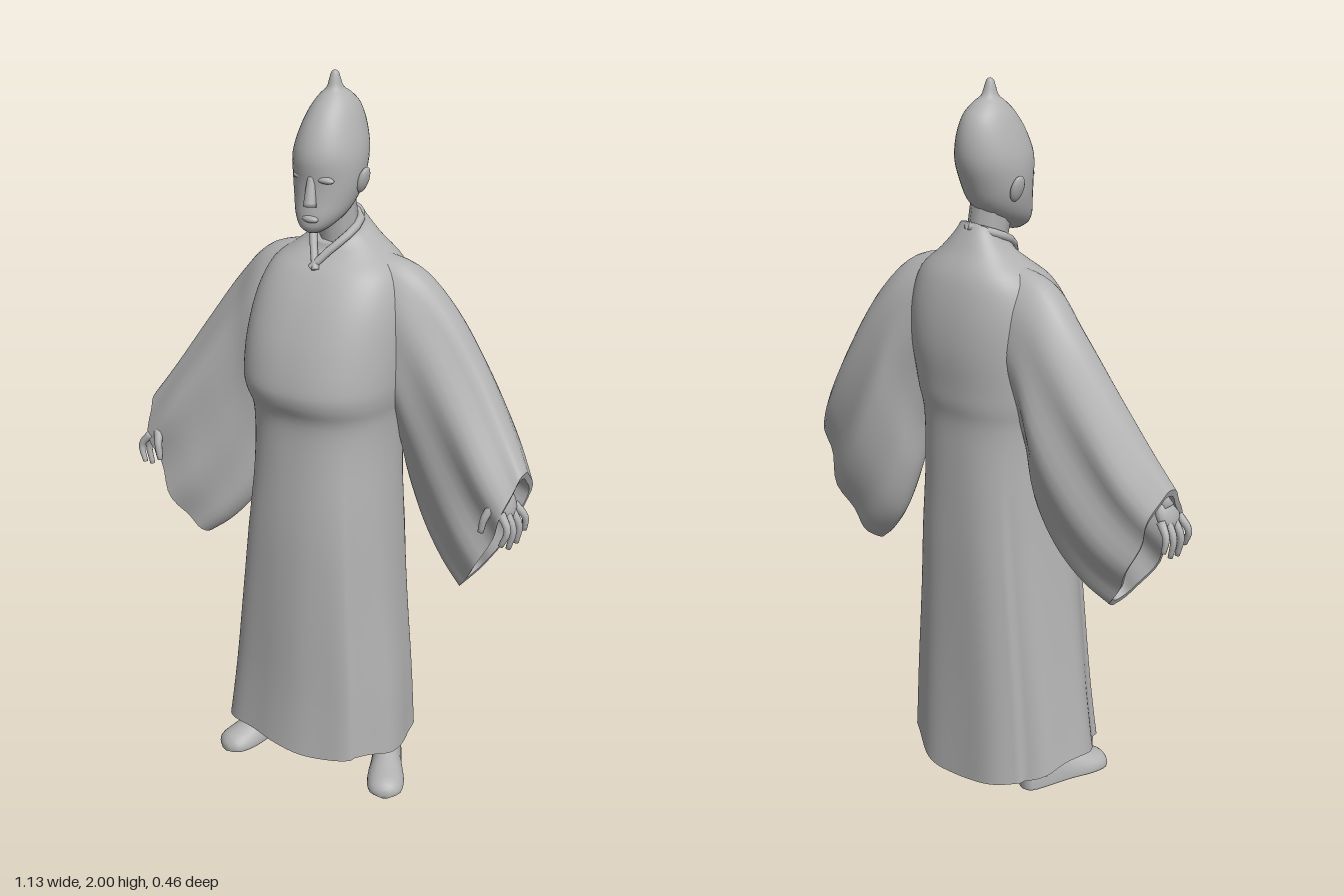
import * as THREE from 'three';

const V = (x, y, z) => new THREE.Vector3(x, y, z);
const cloth = new THREE.MeshStandardMaterial({ color: 0xb2b2b2 });
cloth.name = 'plain grey';

// Smoothly resample rows of numbers (Catmull-Rom), n steps per gap.
function resample(rows, n) {
  const out = [];
  const at = (i) => rows[Math.min(Math.max(i, 0), rows.length - 1)];
  for (let i = 0; i < rows.length - 1; i++) {
    for (let k = 0; k < n; k++) {
      const t = k / n;
      out.push(rows[i].map((b, c) => {
        const a = at(i - 1)[c], d = at(i + 1)[c], e = at(i + 2)[c];
        return b + 0.5 * t * (d - a + t * (2 * a - 5 * b + 4 * d - e + t * (3 * (b - d) + e - a)));
      }));
    }
  }
  out.push(rows[rows.length - 1]);
  return out;
}

// Closed skin over rings of points, capped at both ends, facing outward.
function loft(name, rings) {
  const m = rings[0].length, pts = rings.flat(), idx = [];
  for (let i = 0; i < rings.length - 1; i++) {
    for (let j = 0; j < m; j++) {
      const a = i * m + j, b = i * m + (j + 1) % m;
      idx.push(a, b, b + m, a, b + m, a + m);
    }
  }
  for (const i of [0, rings.length - 1]) {
    const centre = rings[i].reduce((s, p) => s.add(p), V(0, 0, 0)).divideScalar(m);
    const c = pts.push(centre) - 1;
    for (let j = 0; j < m; j++) {
      const a = i * m + j, b = i * m + (j + 1) % m;
      idx.push(...(i === 0 ? [c, b, a] : [c, a, b]));
    }
  }
  let volume = 0;
  for (let k = 0; k < idx.length; k += 3) {
    volume += pts[idx[k]].dot(V(0, 0, 0).crossVectors(pts[idx[k + 1]], pts[idx[k + 2]]));
  }
  if (volume < 0) idx.reverse();
  const g = new THREE.BufferGeometry().setFromPoints(pts);
  g.setIndex(idx);
  g.computeVertexNormals();
  const mesh = new THREE.Mesh(g, cloth);
  mesh.name = name;
  return mesh;
}

const ring = (m, fn) => Array.from({ length: m }, (_, j) => fn(j / m * Math.PI * 2));
const clone = (r) => r.map((p) => p.clone());

function ball(name, x, y, z, sx, sy, sz) {
  const mesh = new THREE.Mesh(new THREE.SphereGeometry(1, 16, 12), cloth);
  mesh.position.set(x, y, z);
  mesh.scale.set(sx, sy, sz);
  mesh.name = name;
  return mesh;
}

// Tapered tube through points.
function taper(name, points, r0, r1) {
  const c = new THREE.CatmullRomCurve3(points), n = 8, f = c.computeFrenetFrames(n);
  return loft(name, Array.from({ length: n + 1 }, (_, i) => ring(10, (a) => {
    const r = r0 + (r1 - r0) * i / n;
    return c.getPointAt(i / n).addScaledVector(f.normals[i], r * Math.cos(a))
      .addScaledVector(f.binormals[i], r * Math.sin(a));
  })));
}

// Robe body: y, centre x, half width, front z, back z, backward tilt.
function robe() {
  const rows = resample([
    [0.115, -0.018, 0.285, 0.225, -0.19, 0],
    [0.3, -0.01, 0.265, 0.212, -0.18, 0],
    [0.55, -0.005, 0.235, 0.205, -0.175, 0],
    [0.8, 0, 0.21, 0.195, -0.172, 0],
    [1.0, 0, 0.195, 0.18, -0.17, 0],
    [1.11, 0, 0.195, 0.178, -0.17, 0],
    [1.17, 0, 0.205, 0.2, -0.18, 0],
    [1.22, 0, 0.21, 0.203, -0.185, 0],
    [1.32, 0, 0.21, 0.178, -0.195, 0],
    [1.42, 0, 0.2, 0.135, -0.19, 0],
    [1.5, 0, 0.17, 0.09, -0.17, 0.01],
    [1.55, 0, 0.11, 0.055, -0.135, 0.025],
    [1.585, 0, 0.07, 0.03, -0.11, 0.04],
    [1.605, 0, 0.058, 0.02, -0.1, 0.04]], 4);
  const rings = rows.map(([y, xc, rx, zf, zb, tilt]) => ring(96, (a) => {
    const low = THREE.MathUtils.clamp((1.05 - y) / 0.9, 0, 1);
    const s = Math.sin(a), c = Math.cos(a), p = 0.84;
    // Overlapping front and back panels plus soft pleats
    const panel = Math.abs(s) < 0.74 ? 0.035 * Math.min(1, low * 3) : 0;
    const k = 1 - 0.03 * low + panel + 0.018 * low * Math.sin(9 * a + 1);
    const x = Math.sign(s) * Math.abs(s) ** p * rx * k;
    const z = (zf + zb) / 2 + Math.sign(c) * Math.abs(c) ** p * (zf - zb) / 2 * k;
    const twist = THREE.MathUtils.clamp((y - 0.9) / 0.4, 0, 1) * 0.1;
    // Hem hangs lower at the middle of the back
    const dip = y < 0.3 ? (0.3 - y) / 0.185 * (0.075 * Math.max(0, -c) ** 3 + 0.008 * Math.sin(5 * a)) : 0;
    return V(xc + x, y - tilt * c - dip, z - twist * x);
  }));
  // Folded-in hem
  const hem = rings[0].map((p) => V(p.x * 0.93, p.y, p.z * 0.93));
  const inside = hem.map((p) => V(p.x * 0.9, 0.2, p.z * 0.9));
  return loft('robe', [inside, hem, clone(hem), clone(rings[0]), ...rings]);
}

// Hanging sleeve: top x,y, bottom x,y, half thickness, z on left, z on right.
function sleeve(side) {
  const rows = resample([
    [0.06, 1.55, 0.1, 1.2, 0.075, -0.06, -0.05],
    [0.2, 1.515, 0.17, 1.06, 0.1, -0.09, -0.03],
    [0.3, 1.415, 0.2, 0.9, 0.105, -0.115, -0.025],
    [0.4, 1.265, 0.245, 0.77, 0.105, -0.125, 0.005],
    [0.49, 1.12, 0.31, 0.68, 0.1, -0.115, 0.04],
    [0.555, 1.02, 0.375, 0.625, 0.08, -0.095, 0.07]], 5);
  const n = rows.length - 1;
  const rings = rows.map(([tx, ty, bx, by, th, zl, zr], i) => ring(48, (a) => {
    const t = i / n, c = Math.cos(a), s = Math.sin(a);
    const fold = 1 + 0.16 * t * Math.sin(7 * a + 0.8) + 0.05 * Math.sin(4 * a + t * 5);
    const bulge = 0.025 * t * s * s;
    const x = (tx + bx) / 2 + c * (tx - bx) / 2 + bulge;
    const y = (ty + by) / 2 + c * (ty - by) / 2 - bulge * 0.6;
    return V(side * x, y, (side > 0 ? zl : zr) + th * s * fold * (0.93 + 0.12 * c));
  }));
  // Thick cuff edge and hollow opening
  const cuff = rings[n], mid = cuff.reduce((q, p) => q.add(p), V(0, 0, 0)).divideScalar(cuff.length);
  const lip = cuff.map((p) => p.clone().lerp(mid, 0.1));
  const deep = lip.map((p) => p.clone().lerp(mid, 0.25).add(V(-side * 0.1, 0.07, 0)));
  return loft(side > 0 ? 'leftSleeve' : 'rightSleeve', [...rings, clone(cuff), lip, clone(lip), deep]);
}

function hand(side) {
  const g = new THREE.Group(), z = side > 0 ? -0.065 : 0.105;
  g.name = side > 0 ? 'leftHand' : 'rightHand';
  const P = (x, y, dz) => V(side * x, y, z + dz);
  g.add(taper('forearm', [P(0.41, 1.1, -0.03), P(0.47, 1.02, -0.01), P(0.515, 0.95, 0)], 0.034, 0.026));
  const palm = ball('palm', side * 0.517, 0.935, z, 0.022, 0.048, 0.04);
  palm.rotation.z = side * 0.35;
  g.add(palm);
  for (let i = 0; i < 4; i++) {
    const d = -0.034 + i * 0.023, len = [0.075, 0.1, 0.105, 0.085][i];
    g.add(taper('finger', [P(0.525, 0.92, d), P(0.553, 0.92 - len * 0.45, d * 1.3),
      P(0.55 - i * 0.004, 0.92 - len, d * 1.45)], 0.0125, 0.007));
  }
  g.add(taper('thumb', [P(0.505, 0.945, 0.025), P(0.487, 0.905, 0.05), P(0.478, 0.86, 0.055)], 0.014, 0.008));
  return g;
}

// Foot from heel to toe: distance, half width, height.
function foot(name, hx, hz, tx, tz) {
  const heel = V(hx, 0, hz), dir = V(tx - hx, 0, tz - hz), len = dir.length();
  dir.normalize();
  const across = V(dir.z, 0, -dir.x);
  const rows = resample([[0, 0.012, 0.05], [0.05, 0.036, 0.1], [0.25, 0.042, 0.115], [0.5, 0.044, 0.085],
    [0.75, 0.053, 0.06], [0.93, 0.045, 0.045], [1, 0.015, 0.022]], 3);
  const g = new THREE.Group();
  g.name = name;
  g.add(loft('foot', rows.map(([t, w, h]) => ring(24, (a) => {
    const s = Math.sin(a), c = Math.cos(a);
    const p = heel.clone().addScaledVector(dir, t * len).addScaledVector(across, w * s);
    p.y = c > 0 ? 0.012 + (h - 0.012) * c : 0.012 * (1 - Math.abs(c) ** 0.5);
    return p;
  }))));
  const ankle = heel.clone().addScaledVector(dir, len * 0.22);
  g.add(taper('ankle', [ankle.clone().setY(0.04), ankle.clone().setY(0.14), V(ankle.x * 0.95, 0.26, ankle.z)], 0.04, 0.045));
  return g;
}

// Head with pointed cap: y, half width, front z, back z.
function head() {
  const g = new THREE.Group();
  g.name = 'head';
  const rows = resample([
    [1.605, 0.018, 0.075, 0.03], [1.62, 0.04, 0.092, 0], [1.65, 0.064, 0.094, -0.05],
    [1.69, 0.08, 0.088, -0.088], [1.74, 0.09, 0.086, -0.11], [1.8, 0.091, 0.09, -0.13],
    [1.86, 0.077, 0.07, -0.13], [1.91, 0.058, 0.038, -0.114], [1.94, 0.038, 0.008, -0.085],
    [1.957, 0.021, -0.012, -0.06], [1.98, 0.014, -0.02, -0.05], [1.996, 0.009, -0.026, -0.044],
    [2.0, 0.003, -0.032, -0.038]], 3);
  g.add(loft('skullAndCap', rows.map(([y, rx, zf, zb]) => ring(40, (a) =>
    V(-0.01 + rx * Math.sin(a), y, (zf + zb) / 2 + (zf - zb) / 2 * Math.cos(a))))));
  g.add(taper('nose', [V(0, 1.755, 0.078), V(0.003, 1.715, 0.088), V(0.006, 1.682, 0.095)], 0.01, 0.017));
  g.add(ball('lips', 0.002, 1.648, 0.088, 0.024, 0.01, 0.012));
  for (const s of [-1, 1]) {
    const ear = ball('ear', -0.01 + s * 0.092, 1.735, -0.03, 0.011, 0.036, 0.022);
    ear.rotation.z = -s * 0.3;
    g.add(ear);
    g.add(ball('brow', s * 0.035, 1.75, 0.07, 0.028, 0.009, 0.012));
  }
  g.add(taper('neck', [V(0, 1.5, -0.045), V(0, 1.6, -0.035), V(-0.005, 1.7, -0.02)], 0.052, 0.056));
  return g;
}

export function createModel() {
  const model = new THREE.Group();
  model.name = 'robedFigure';
  model.add(robe(), head());
  for (const s of [1, -1]) {
    model.add(sleeve(s), hand(s));
    // Crossed collar band
    model.add(taper('collar', [V(0, 1.632, -0.102), V(s * 0.052, 1.617, -0.062), V(s * 0.053, 1.59, -0.005),
      V(s * 0.025, 1.555, 0.037), V(-s * 0.008, 1.51, 0.075)], 0.012, 0.01));
  }
  model.add(foot('leftFoot', 0.125, -0.12, 0.285, 0.13), foot('rightFoot', -0.16, -0.06, -0.225, 0.215));
  return model;
}
